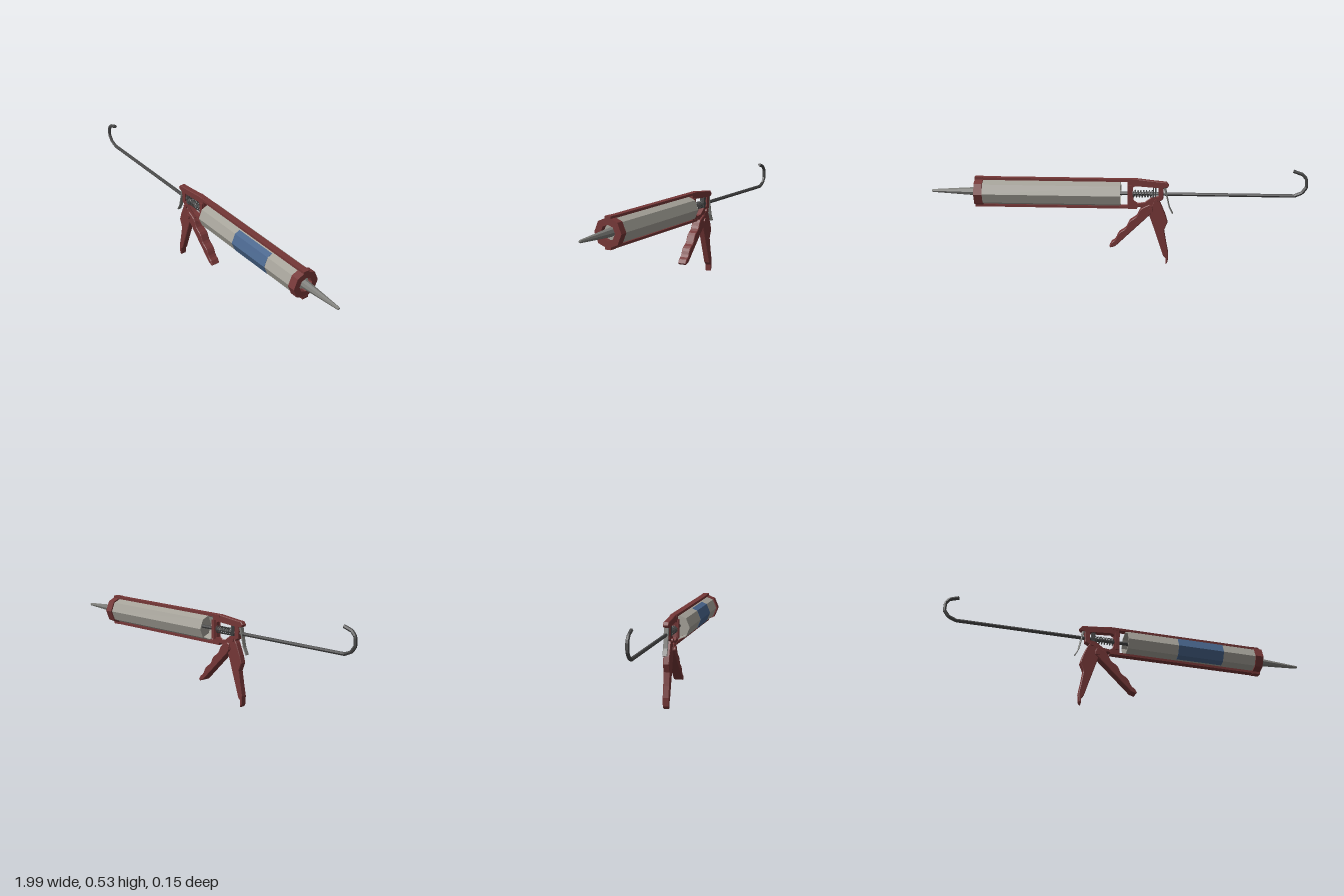
import * as THREE from 'three';

const AXIS = 0.387; // height of the barrel axis

const material = (color) => new THREE.MeshStandardMaterial({ color, flatShading: true, side: THREE.DoubleSide });

export function createModel() {
  const group = new THREE.Group();
  const red = material(0x743636);
  const metal = material(0x484848);
  const steel = material(0x7c7c78);
  const plastic = material(0xa5a299);
  const blue = material(0x48658c);

  const add = (name, geometry, mat, x = 0, y = 0, z = 0) => {
    const mesh = new THREE.Mesh(geometry, mat);
    mesh.name = name;
    mesh.position.set(x, y, z);
    group.add(mesh);
    return mesh;
  };
  // Profile of [x, radius] points turned about the barrel axis
  const turned = (name, profile, sides, mat) => add(name,
    new THREE.LatheGeometry(profile.map(([x, r]) => new THREE.Vector2(r, x)), sides).rotateZ(-Math.PI / 2),
    mat, 0, AXIS);
  const vectors = (pts) => pts.map(([x, y]) => new THREE.Vector2(x, y));
  // Side outline extruded evenly about z = 0
  const plate = (name, outline, width, mat, holes = []) => {
    const shape = new THREE.Shape(vectors(outline));
    holes.forEach((h) => shape.holes.push(new THREE.Path(vectors(h))));
    const bevel = 0.003;
    const geo = new THREE.ExtrudeGeometry(shape, {
      depth: width - 2 * bevel, bevelThickness: bevel, bevelSize: bevel, bevelOffset: -bevel, bevelSegments: 1,
    });
    return add(name, geo.translate(0, 0, -width / 2 + bevel), mat);
  };

  // Cartridge, open at the rear, with its piston inside
  turned('cartridge', [[-0.012, 0.064], [-0.012, 0.069], [0.735, 0.069], [0.735, 0]], 8, plastic);
  turned('cartridgeLining', [[-0.012, 0.064], [0.06, 0.064]], 8, plastic);
  turned('piston', [[0.04, 0], [0.04, 0.062], [0.06, 0.062], [0.06, 0]], 8, plastic);
  turned('nozzle', [[0.735, 0.024], [0.775, 0.022], [0.995, 0.008], [1, 0.005], [1, 0]], 8, steel);

  // Label wrapped around the front facets
  const wrap = (r) => [[0.019, 0.849], [0.707, 0.707], [1, 0], [0.707, -0.707], [0.3, -0.876]]
    .map(([z, y], i) => (i === 0 ? [0.3 * r, 0.876 * r] : [z * r, y * r]));
  const labelShape = new THREE.Shape(vectors([...wrap(0.0702), ...wrap(0.0685).reverse()]));
  const labelGeo = new THREE.ExtrudeGeometry(labelShape, { depth: 0.26, bevelEnabled: false });
  add('label', labelGeo.rotateY(-Math.PI / 2).translate(0.26, 0, 0), blue, 0.272, AXIS);

  // Front retaining cap and the two rails that carry it
  turned('frontCap', [[0.72, 0.04], [0.72, 0.076], [0.764, 0.076], [0.764, 0.04], [0.72, 0.04]], 8, red);
  for (const side of [1, -1]) {
    const name = side > 0 ? 'topRail' : 'bottomRail';
    add(name, new THREE.BoxGeometry(0.865, 0.013, 0.034), red, 0.3325, AXIS + side * 0.073);
    add(name + 'Tip', new THREE.BoxGeometry(0.044, 0.014, 0.034), red, 0.743, AXIS + side * 0.074);
  }

  // Grip frame with its window around the spring
  plate('gripFrame', [
    [-0.268, 0.437], [-0.255, 0.452], [-0.18, 0.459], [-0.1, 0.468], [-0.048, 0.467],
    [-0.048, 0.307], [-0.08, 0.309], [-0.115, 0.318], [-0.15, 0.295], [-0.18, 0.275],
    [-0.215, 0.3], [-0.212, 0.345], [-0.238, 0.36], [-0.24, 0.42], [-0.262, 0.425],
  ], 0.03, red, [[
    [-0.216, 0.37], [-0.216, 0.425], [-0.09, 0.434], [-0.076, 0.425], [-0.072, 0.385],
    [-0.078, 0.345], [-0.1, 0.33], [-0.14, 0.335], [-0.18, 0.365],
  ]]);
  add('frameCollar', new THREE.BoxGeometry(0.022, 0.1, 0.044), red, -0.06, AXIS);

  // Fixed rear handle
  plate('rearHandle', [
    [-0.205, 0.362], [-0.185, 0.34], [-0.16, 0.285], [-0.18, 0.23], [-0.2, 0.17], [-0.222, 0.105],
    [-0.24, 0.05], [-0.253, 0.035], [-0.256, 0], [-0.266, 0.015], [-0.268, 0.06],
    [-0.256, 0.12], [-0.244, 0.19], [-0.262, 0.235], [-0.25, 0.275], [-0.225, 0.335],
  ], 0.034, red);

  // Trigger with finger waves along its front edge
  const front = [], back = [];
  for (let i = 0; i <= 16; i++) {
    const t = i / 16;
    const wave = 0.005 * Math.sin(t * Math.PI * 6);
    const half = 0.026 - 0.012 * t;
    const cx = -0.155 + 0.18 * t, cy = 0.3 - 0.19 * t;
    front.push([cx + (half + wave) * 0.72, cy + (half + wave) * 0.69]);
    back.push([cx - half * 0.72, cy - half * 0.69]);
  }
  plate('trigger', [[-0.18, 0.325], [-0.165, 0.332], ...front, [0.047, 0.1], [0.04, 0.092], ...back.reverse(), [-0.185, 0.295]],
    0.048, red);

  // Pivot pins with heads on both sides
  for (const [x, y, r, w] of [[-0.17, 0.3, 0.014, 0.062], [-0.2, 0.35, 0.011, 0.05]]) {
    add('pivotPin', new THREE.CylinderGeometry(r, r, w, 8).rotateX(Math.PI / 2), red, x, y);
  }

  // Push rod ending in a bent hook
  const path = new THREE.CurvePath();
  const bends = [[0.05, AXIS], [-0.925, AXIS], [-0.965, 0.404], [-0.987, 0.435], [-0.985, 0.48], [-0.965, 0.504], [-0.917, 0.52]]
    .map(([x, y]) => new THREE.Vector3(x, y, 0));
  for (let i = 1; i < bends.length; i++) path.add(new THREE.LineCurve3(bends[i - 1], bends[i]));
  add('pushRod', new THREE.TubeGeometry(path, 120, 0.0095, 6), metal);
  const rodEnd = new THREE.CircleGeometry(0.0095, 6).rotateY(Math.PI / 2).rotateZ(0.32);
  add('rodEnd', rodEnd, metal, -0.917, 0.52);

  // Return spring and gripping plates
  class Helix extends THREE.Curve {
    getPoint(t, target = new THREE.Vector3()) {
      const a = t * Math.PI * 2 * 7;
      return target.set(-0.18 + 0.105 * t, AXIS + 0.018 * Math.cos(a), 0.018 * Math.sin(a));
    }
  }
  add('returnSpring', new THREE.TubeGeometry(new Helix(), 84, 0.003, 5), metal);
  for (const x of [-0.197, -0.186]) {
    add('gripPlate', new THREE.BoxGeometry(0.007, 0.07, 0.026), metal, x, AXIS);
  }

  // Curved release lever behind the frame
  plate('releaseLever', [
    [-0.238, 0.425], [-0.252, 0.425], [-0.262, 0.37], [-0.273, 0.32], [-0.291, 0.283],
    [-0.286, 0.28], [-0.267, 0.318], [-0.255, 0.37],
  ], 0.026, steel);

  return group;
}
